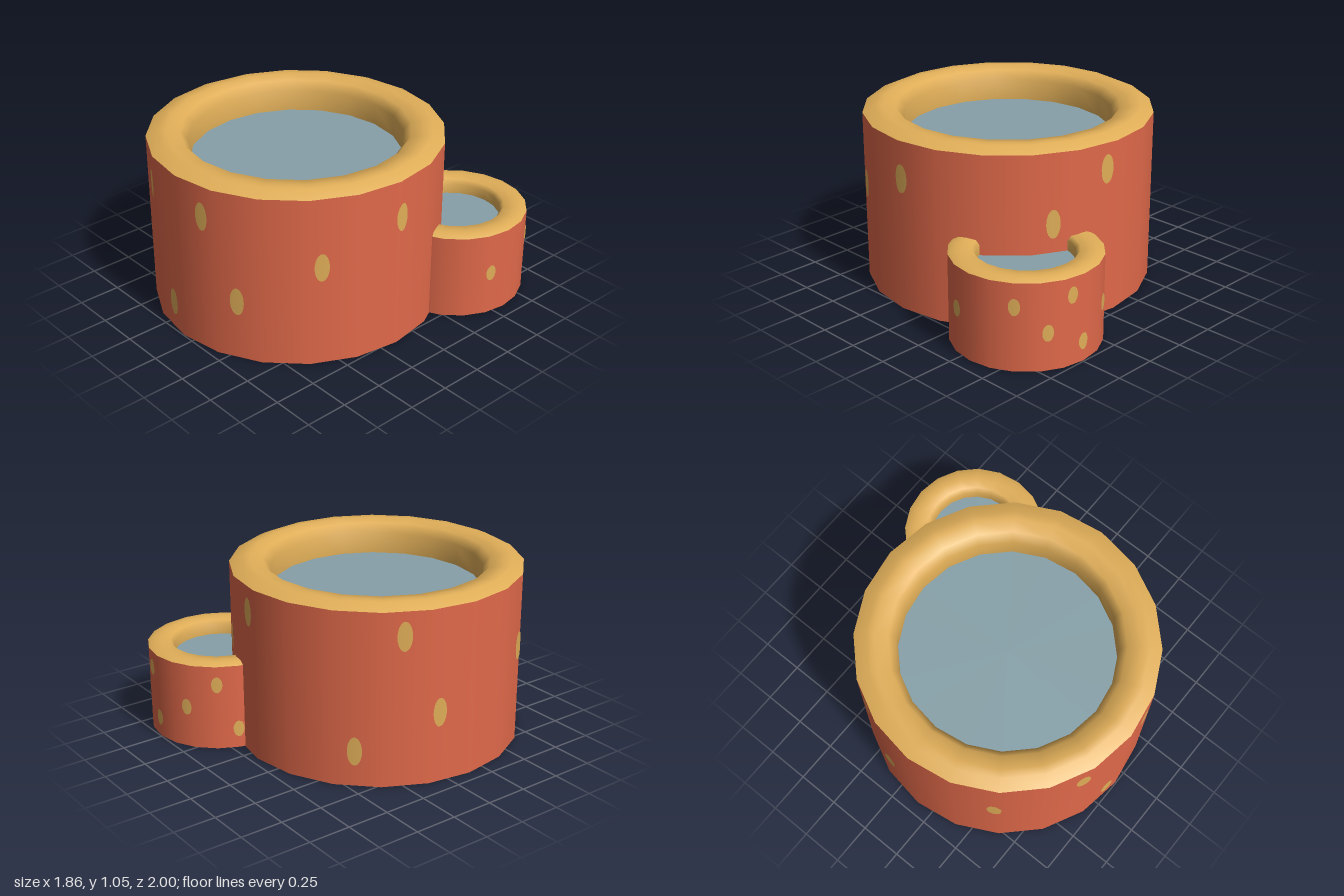
import * as THREE from 'three';

const SIDES = 20;
const material = (name, color, side = THREE.FrontSide) => {
  const m = new THREE.MeshStandardMaterial({ color, side });
  m.name = name;
  return m;
};

export function createModel() {
  const red = material('terracotta red', 0xe0694a);
  const gold = material('golden rim', 0xe0ae58);
  const grey = material('blue grey surface', 0x86a0a8);

  const mesh = (name, geometry, mat) => {
    const m = new THREE.Mesh(geometry, mat);
    m.name = name;
    return m;
  };
  // profile points are [radius, height], counter-clockwise around the section
  const lathe = (points) =>
    new THREE.LatheGeometry(points.map(([r, y]) => new THREE.Vector2(r, y)), SIDES);

  // horizontal disc whose corners match the lathe
  const disc = (radius, y, up) => {
    const g = new THREE.CircleGeometry(radius, SIDES, Math.PI / 2);
    g.rotateX(up ? -Math.PI / 2 : Math.PI / 2);
    return g.translate(0, y, 0);
  };

  // oval spot wrapped onto the faceted wall
  const spot = (R, degrees, y, halfWidth, halfHeight) => {
    const g = new THREE.RingGeometry(0.001, 1, 24, 4);
    const p = g.attributes.position, n = g.attributes.normal;
    const step = (Math.PI * 2) / SIDES;
    for (let i = 0; i < p.count; i++) {
      const a = THREE.MathUtils.degToRad(degrees) + (p.getX(i) * halfWidth) / R;
      const local = a - (Math.floor(a / step) + 0.5) * step;
      const r = (R * Math.cos(step / 2)) / Math.cos(local) + 0.004;
      p.setXYZ(i, r * Math.sin(a), y + p.getY(i) * halfHeight, r * Math.cos(a));
      n.setXYZ(i, Math.sin(a), 0, Math.cos(a));
    }
    return g;
  };

  const drum = (name, o) => {
    const g = new THREE.Group();
    g.name = name;
    const { R, inner, wall, top, surface, floor, bevel } = o;
    const lip = top - wall;

    g.add(mesh('wall', lathe([[R, 0], [R, wall]]), red));

    // rounded upper rim and its inner wall
    g.add(mesh('upperRim', lathe([
      [R, wall], [R - bevel, top], [(R + inner) / 2, top],
      [inner + bevel * 0.6, top - lip * 0.4], [inner, wall - lip], [inner, surface],
    ]), gold));

    // underside rim and its inner wall
    g.add(mesh('lowerRim', lathe([
      [inner, floor], [inner, lip * 1.2], [inner + bevel * 0.6, lip * 0.4],
      [R - bevel, lip * 0.4], [R, 0],
    ]), gold));

    g.add(mesh('topSurface', disc(inner + 0.005, surface, true), grey));
    g.add(mesh('underside', disc(inner + 0.005, floor, false), red));

    const spots = new THREE.Group();
    spots.name = 'spots';
    for (const [a, y] of o.spots) spots.add(mesh('spot', spot(R, a, y, o.spotW, o.spotH), gold));
    g.add(spots);
    g.position.set(...o.at);
    return g;
  };

  const model = new THREE.Group();
  model.name = 'twoSpottedDrums';
  model.add(drum('largeDrum', {
    at: [-0.08, 0, 0.145], R: 0.85, inner: 0.615, wall: 1.02, top: 1.053,
    surface: 0.86, floor: 0.16, bevel: 0.07, spotW: 0.042, spotH: 0.085,
    spots: [
      [-21.7, 0.83], [-6.4, 0.175], [12.6, 0.838], [26.6, 0.365], [58.5, 0.61], [91.3, 0.8],
      [152, 0.61], [175, 0.87], [224, 0.21], [242, 0.88], [256, 0.42], [304, 0.6],
    ],
  }));
  model.add(drum('smallDrum', {
    at: [0.5, 0.006, -0.575], R: 0.425, inner: 0.27, wall: 0.51, top: 0.527,
    surface: 0.435, floor: 0.08, bevel: 0.035, spotW: 0.032, spotH: 0.049,
    spots: [
      [75, 0.265], [126, 0.375], [150, 0.22], [169, 0.41],
      [179.5, 0.12], [210, 0.25], [235, 0.4], [251, 0.12],
    ],
  }));
  return model;
}
